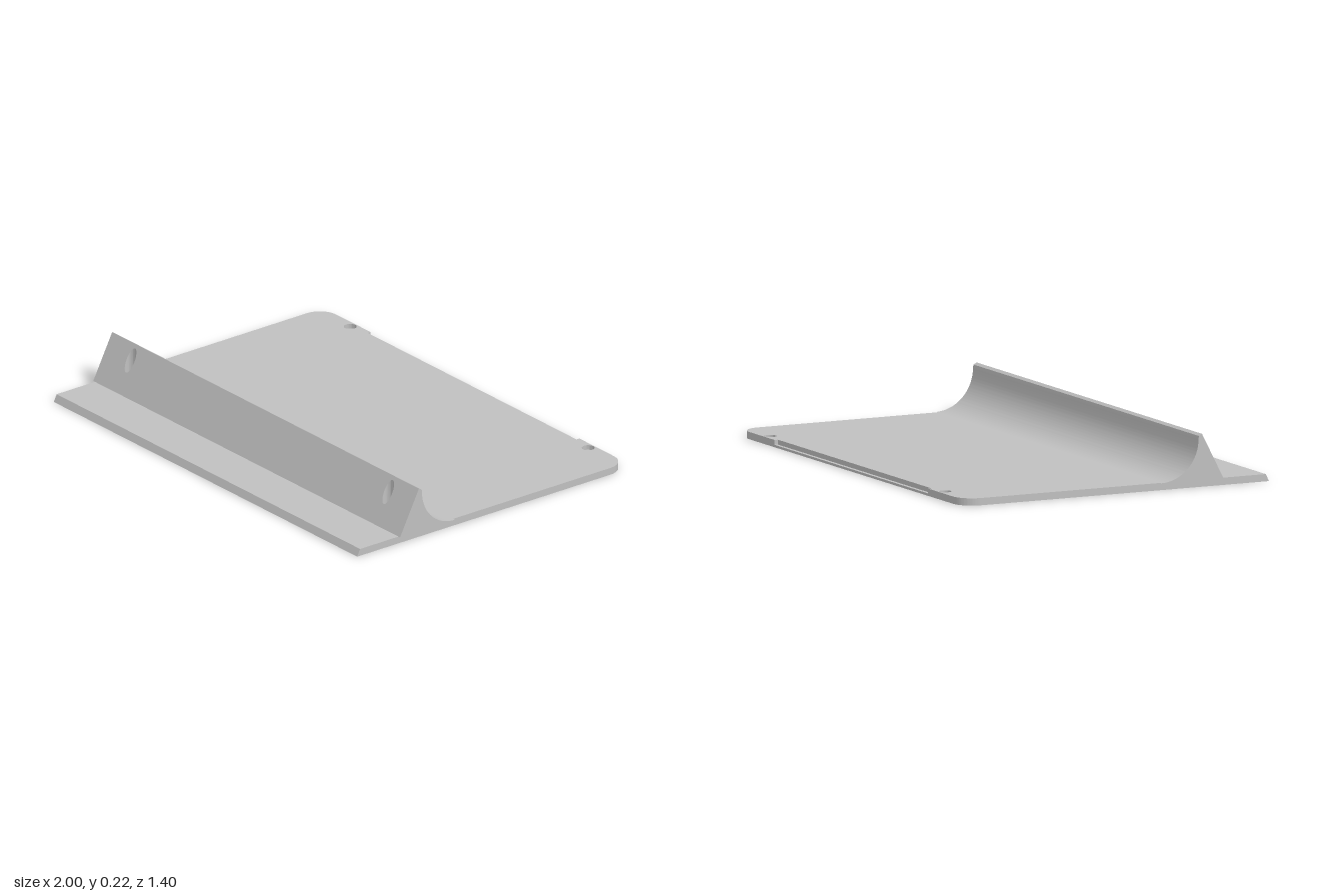
import * as THREE from 'three';
import { toCreasedNormals } from 'three/addons/utils/BufferGeometryUtils.js';

const W = 0.989, D = 0.7, T = 0.03, R = 0.085;   // plate half width, half depth, thickness, corner radius
const LEDGE = 0.01;                              // height of the step along the back edge
const RIDGE_Z = 0.388, RIDGE_Y = 0.22, TOE_Z = 0.486;

// Shapes below are drawn in (x, -z) and extruded upwards
function hole(x, z, r) {
  return new THREE.Path().absarc(x, -z, r, 0, Math.PI * 2, true);
}

function extrudeUp(shape, y, height) {
  return new THREE.ExtrudeGeometry(shape, { depth: height, bevelEnabled: false, curveSegments: 16 })
    .rotateX(-Math.PI / 2).translate(0, y, 0);
}

function moveVertices(geometry, rule) {
  const p = geometry.attributes.position, v = new THREE.Vector3();
  for (let i = 0; i < p.count; i++) {
    rule(v.fromBufferAttribute(p, i));
    p.setXYZ(i, v.x, v.y, v.z);
  }
  return geometry;
}

// Plate outline with rounded back corners and an optional notch in the back edge
function plateShape(notched, backHoleRadius) {
  const s = new THREE.Shape();
  s.moveTo(-W, -D);
  s.lineTo(W, -D);
  s.lineTo(W, D - R);
  s.absarc(W - R, D - R, R, 0, Math.PI / 2, false);
  if (notched) {
    s.lineTo(0.68, D);
    s.lineTo(0.68, D - 0.015);
    s.lineTo(-0.68, D - 0.015);
    s.lineTo(-0.68, D);
  }
  s.absarc(-W + R, D - R, R, Math.PI / 2, Math.PI, false);
  s.closePath();
  for (const side of [-1, 1]) {
    s.holes.push(hole(side * 0.775, -0.67, backHoleRadius), hole(side * 0.84, 0.42, 0.013));
  }
  return s;
}

export function createModel() {
  const model = new THREE.Group();
  model.name = 'ridgedPlate';
  const grey = new THREE.MeshStandardMaterial({ color: 0xc0c0c0 });
  grey.name = 'plain grey';

  const add = (name, geometry) => {
    const mesh = new THREE.Mesh(toCreasedNormals(geometry, 0.45), grey);
    mesh.name = name;
    model.add(mesh);
  };

  // Front edge of the plate leans back towards the top
  const slantFront = (v) => { if (v.z > D - 0.001) v.z -= v.y * 0.5; };
  add('plateLower', moveVertices(extrudeUp(plateShape(false, 0.013), 0, LEDGE), slantFront));
  add('plateUpper', moveVertices(extrudeUp(plateShape(true, 0.026), LEDGE, T - LEDGE), slantFront));

  // Front half of the ridge: sloping face with two vertical screw bores
  const front = new THREE.Shape();
  front.moveTo(-1, -TOE_Z);
  front.lineTo(1, -TOE_Z);
  front.lineTo(1, -RIDGE_Z);
  front.lineTo(-1, -RIDGE_Z);
  front.closePath();
  for (const side of [-1, 1]) front.holes.push(hole(side * 0.84, 0.42, 0.024));
  add('ridgeFront', moveVertices(extrudeUp(front, T, 1), (v) => {
    if (v.y > 0.5) v.y = T + (RIDGE_Y - T) * (TOE_Z - v.z) / (TOE_Z - RIDGE_Z);
  }));

  // Back half of the ridge: concave sweep, profile drawn in (-z, y)
  const back = new THREE.Shape();
  back.moveTo(-RIDGE_Z, T);
  back.lineTo(-RIDGE_Z, RIDGE_Y);
  back.lineTo(-0.374, 0.212);
  back.absarc(-0.202, 0.2, 0.17, Math.PI, Math.PI * 1.5, false);
  back.closePath();
  add('ridgeBack', new THREE.ExtrudeGeometry(back, { depth: 2, bevelEnabled: false, curveSegments: 24 })
    .rotateY(Math.PI / 2).translate(-1, 0, 0));

  return model;
}
